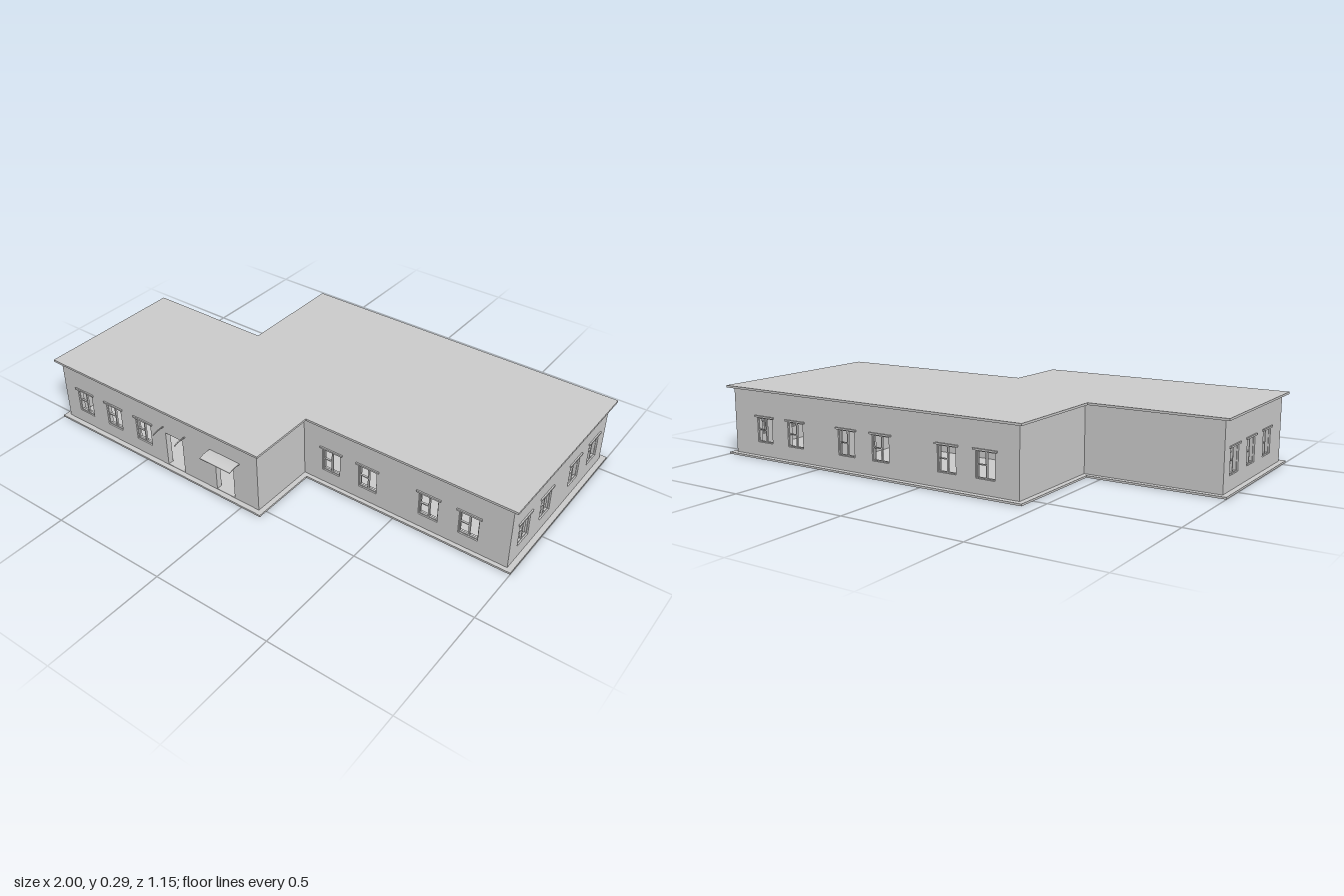
import * as THREE from 'three';

const mat = new THREE.MeshStandardMaterial({ color: 0xcccccc, side: THREE.DoubleSide });
const T = 0.025;            // wall thickness
const Y0 = 0.008, Y1 = 0.281; // wall bottom and top
const WIN = { w: 0.082, y0: 0.065, y1: 0.167 };
const DOOR = { w: 0.09, y0: Y0 + 0.002, y1: 0.165 };

// Corners [x, z] of the outer wall line, counter-clockwise seen from above
const wallLine = [
  [-0.978, 0.518], [0.07, 0.518], [0.07, 0.23], [0.978, 0.23],
  [0.978, -0.553], [-0.42, -0.553], [-0.42, -0.09], [-0.978, -0.09],
];
const eaveLine = [
  [-1, 0.54], [0.092, 0.54], [0.092, 0.248], [1, 0.248],
  [1, -0.576], [-0.442, -0.576], [-0.442, -0.112], [-1, -0.112],
];

function add(parent, name, geometry, x = 0, y = 0, z = 0) {
  const mesh = new THREE.Mesh(geometry, mat);
  mesh.name = name;
  mesh.position.set(x, y, z);
  parent.add(mesh);
  return mesh;
}

function rect(x0, y0, x1, y1, Type = THREE.Path) {
  const p = new Type();
  p.moveTo(x0, y0).lineTo(x1, y0).lineTo(x1, y1).lineTo(x0, y1).closePath();
  return p;
}

const extrude = (shape, depth) => new THREE.ExtrudeGeometry(shape, { depth, bevelEnabled: false, curveSegments: 8 });

// Flat slab from an [x, z] outline
function slab(points, thickness) {
  const shape = new THREE.Shape(points.map(([x, z]) => new THREE.Vector2(x, -z)));
  return extrude(shape, thickness).rotateX(-Math.PI / 2);
}

// Window: two small panes on the left, a tall one on the right, hood above
function makeWindow(u) {
  const g = new THREE.Group();
  g.name = 'window';
  const { w, y0, y1 } = WIN, h = w / 2, mid = (y0 + y1) / 2, b = 0.004;
  const frame = rect(-h, y0, h, y1, THREE.Shape);
  frame.holes.push(
    rect(-h + b, y0 + b, -b / 2, mid - b / 2),
    rect(-h + b, mid + b / 2, -b / 2, y1 - b),
    rect(b / 2 + 0.002, y0 + b, h - b, y1 - b),
  );
  add(g, 'windowFrame', extrude(frame, 0.008), 0, 0, -0.014);
  add(g, 'windowHood', new THREE.BoxGeometry(w + 0.022, 0.007, 0.008), 0, y1 + 0.005, 0.002);
  g.position.x = u;
  return g;
}

// Wall from a to b; its outer face is local z = 0, and it runs rightward seen from outside
function makeWall(a, b, windows = [], doors = []) {
  const g = new THREE.Group();
  g.name = 'outerWall';
  const dx = b[0] - a[0], dz = b[1] - a[1], length = Math.hypot(dx, dz);
  const along = (p) => Math.abs(p - (Math.abs(dx) > 1e-6 ? a[0] : a[1]));
  const shape = rect(0, Y0, length, Y1, THREE.Shape);
  const cut = (u, o) => shape.holes.push(rect(u - o.w / 2, o.y0, u + o.w / 2, o.y1));
  windows.forEach((p) => {
    cut(along(p), WIN);
    g.add(makeWindow(along(p)));
  });
  doors.forEach((p) => cut(along(p), DOOR));
  add(g, 'wallPanel', extrude(shape, T), 0, 0, -T);
  g.position.set(a[0], 0, a[1]);
  g.rotation.y = Math.atan2(-dz, dx);
  return g;
}

// Side profile of a curved door hood, extruded sideways
function hood(width) {
  const s = new THREE.Shape();
  s.moveTo(0, 0.189).quadraticCurveTo(0.035, 0.192, 0.057, 0.182);
  s.lineTo(0.057, 0.185).quadraticCurveTo(0.035, 0.196, 0, 0.193).closePath();
  return extrude(s, width).rotateY(-Math.PI / 2).translate(width / 2, 0, 0);
}

export function createModel() {
  const model = new THREE.Group();
  model.name = 'building';

  // Roof and ground slabs
  add(model, 'roof', slab(eaveLine, 0.009), 0, Y1, 0);
  add(model, 'base', slab(eaveLine, Y0));

  // Outer walls: window and door centres along each one
  const openings = [
    [[-0.862, -0.693, -0.525], [-0.355, -0.095]],
    [],
    [[0.2, 0.37, 0.64, 0.81]],
    [[0.127, -0.042, -0.281, -0.449]],
    [[0.81, 0.64, 0.37, 0.2, -0.108, -0.277]],
    [],
    [],
    [[0.01, 0.18, 0.355]],
  ];
  wallLine.forEach((a, i) => model.add(makeWall(a, wallLine[(i + 1) % wallLine.length], ...openings[i])));

  // Partitions, and the post closing the inner corner: [x0, x1, z0, z1]
  const h = Y1 - Y0;
  [
    ['partition', 0.488, 0.513, -0.54, 0.22],
    ['partition', -0.42, 0.5, -0.09, -0.065],
    ['partition', -0.275, -0.25, -0.08, 0.51],
    ['cornerPost', 0.045, 0.07, 0.205, 0.23],
  ].forEach(([name, x0, x1, z0, z1]) =>
    add(model, name, new THREE.BoxGeometry(x1 - x0, h, z1 - z0), (x0 + x1) / 2, Y0 + h / 2, (z0 + z1) / 2));

  // Hood over one door, and a pair of bare brackets over the other
  add(model, 'doorHood', hood(0.15), -0.09, 0, 0.518);
  for (const x of [-0.41, -0.295]) add(model, 'hoodBracket', hood(0.004), x, 0, 0.518);

  return model;
}
